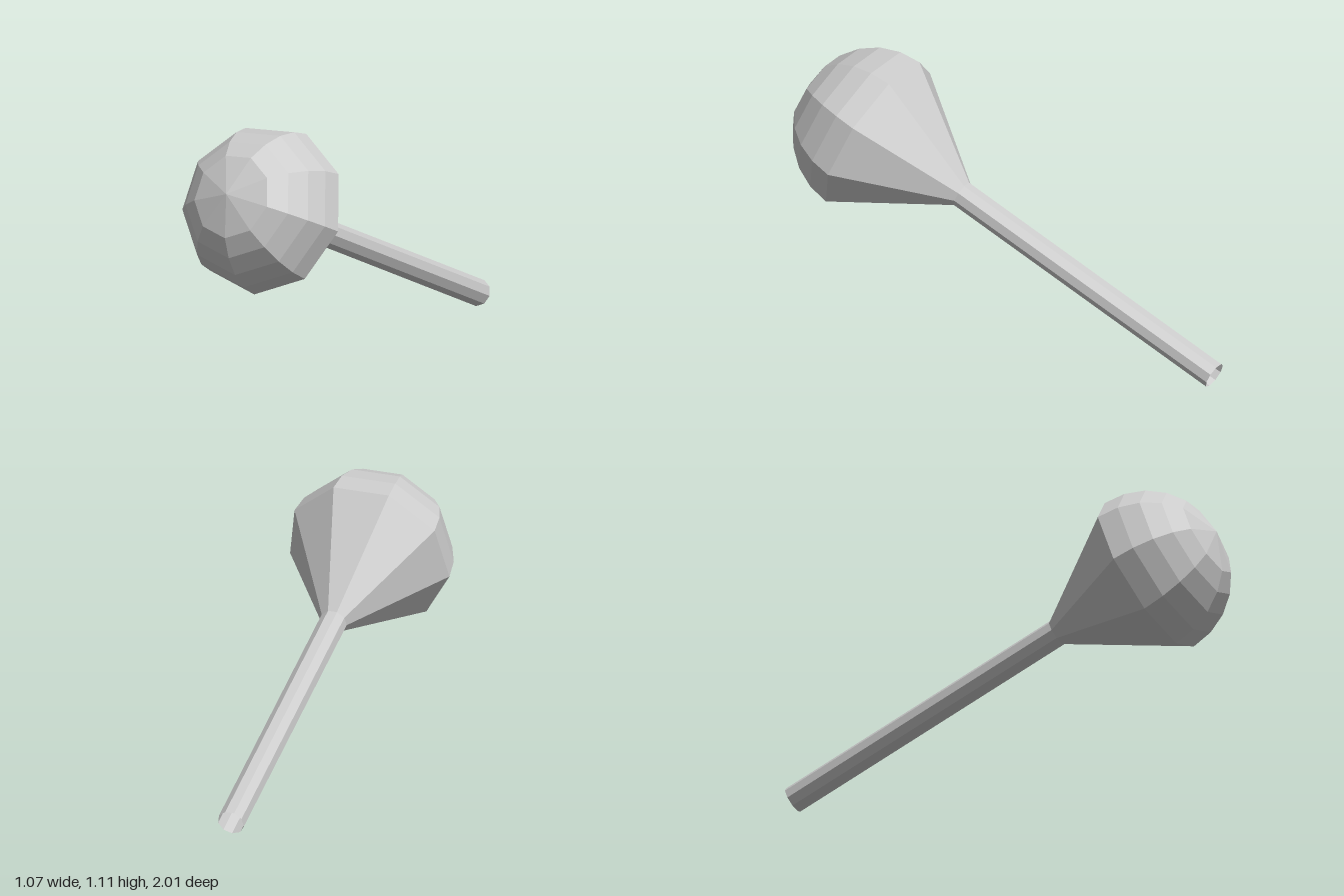
import * as THREE from 'three';

const SIDES = 9;
const STICK_LENGTH = 1.394;
const STICK_RADIUS = 0.06;
const CONE_LENGTH = 0.472;
const HEAD_RADIUS = 0.372;

export function createModel() {
  const material = new THREE.MeshStandardMaterial({
    color: 0xcccccc, flatShading: true, side: THREE.DoubleSide,
  });
  const group = new THREE.Group();
  group.name = 'roundHeadedStick';

  // every part is turned around the same axis, y running from stick end to head
  const addTurned = (name, profile) => {
    const points = profile.map(([r, y]) => new THREE.Vector2(r, y));
    const mesh = new THREE.Mesh(new THREE.LatheGeometry(points, SIDES), material);
    mesh.name = name;
    group.add(mesh);
  };

  // open tube handle
  addTurned('stick', [[STICK_RADIUS, 0], [STICK_RADIUS, STICK_LENGTH]]);

  // flare from the handle to the head
  const rim = STICK_LENGTH + CONE_LENGTH;
  addTurned('cone', [[STICK_RADIUS, STICK_LENGTH], [HEAD_RADIUS, rim]]);

  // faceted half-sphere
  const dome = [90, 75, 60, 45, 30, 0].map((degrees) => {
    const a = THREE.MathUtils.degToRad(degrees);
    return [HEAD_RADIUS * Math.sin(a), rim + HEAD_RADIUS * Math.cos(a)];
  });
  addTurned('dome', dome);

  // lean the axis, with one corner of the rim facing the side direction
  const axis = new THREE.Vector3(0.344, 0.3745, 0.861).normalize();
  const side = new THREE.Vector3(0.349, -0.044, -0.116);
  side.addScaledVector(axis, -side.dot(axis)).normalize();
  const across = new THREE.Vector3().crossVectors(axis, side);
  group.quaternion.setFromRotationMatrix(new THREE.Matrix4().makeBasis(across, axis, side));
  group.position.set(-0.48, 0.057, -0.975);

  const model = new THREE.Group();
  model.name = 'model';
  model.add(group);
  return model;
}
